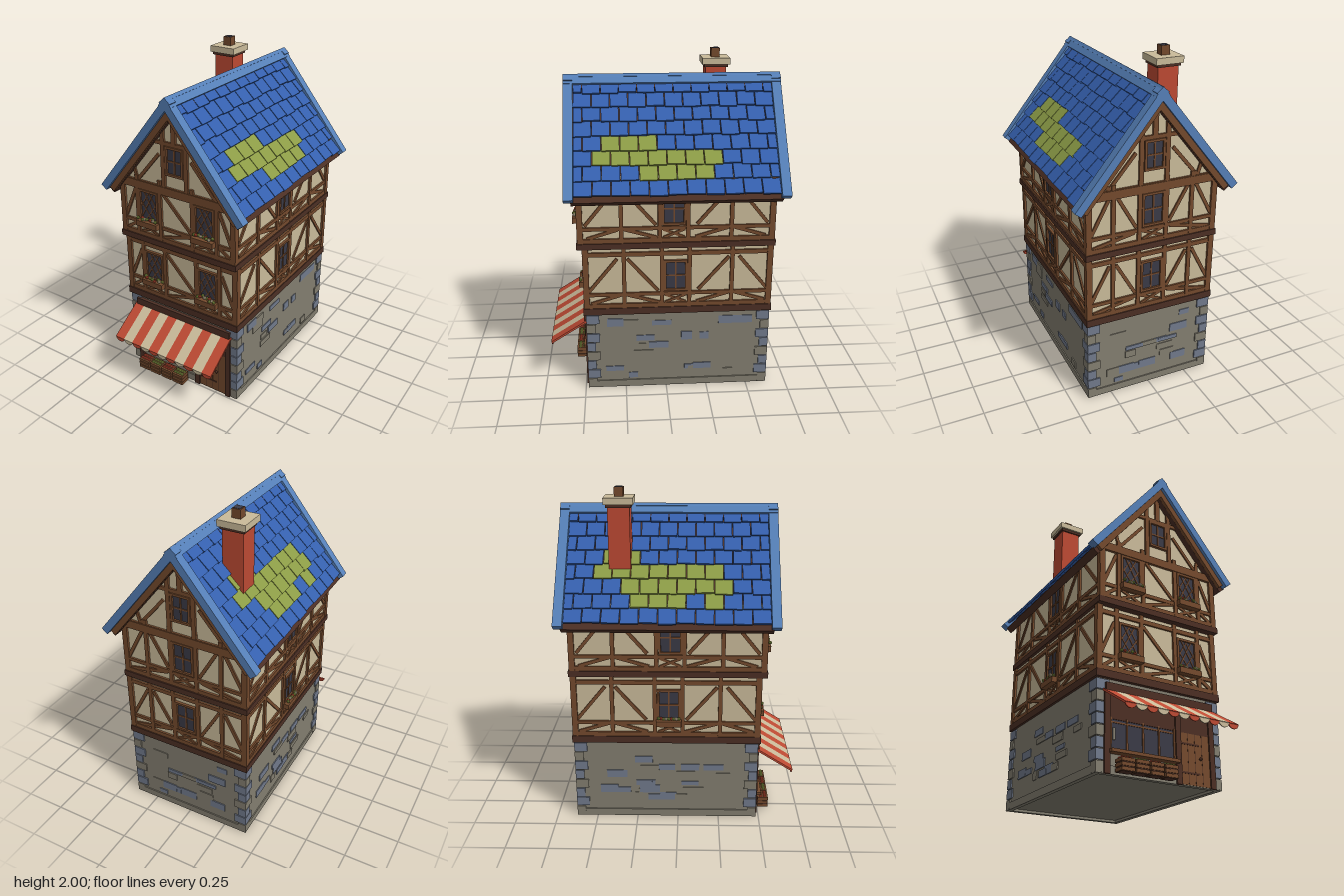
import * as THREE from 'three';

const mat = (name, color) => Object.assign(new THREE.MeshStandardMaterial({ color }), { name });
const blue = mat('roof blue', 0x3560ae), trim = mat('trim blue', 0x5680b8), moss = mat('moss green', 0x8c9c46),
  plaster = mat('cream plaster', 0xcabb9a), wood = mat('timber brown', 0x744a2d), dark = mat('dark timber', 0x4c2f24),
  stone = mat('grey stone', 0x837e70), slate = mat('blue stone', 0x717a8c), red = mat('brick red', 0xbd4a33),
  glass = mat('dark glass', 0x3a3a46);

let seed = 7;
const rnd = () => (seed = (seed * 16807) % 2147483647) / 2147483647;

function add(parent, name, geo, material, x = 0, y = 0, z = 0) {
  const m = new THREE.Mesh(geo, material);
  m.name = name;
  m.position.set(x, y, z);
  parent.add(m);
  return m;
}
// box given by its minimum and maximum corners
const span = (p, name, m, x0, x1, y0, y1, z0, z1) =>
  add(p, name, new THREE.BoxGeometry(x1 - x0, y1 - y0, z1 - z0), m, (x0 + x1) / 2, (y0 + y1) / 2, (z0 + z1) / 2);
const sub = (p, name, x = 0, y = 0, z = 0, ry = 0) => {
  const g = new THREE.Group();
  g.name = name;
  g.position.set(x, y, z);
  g.rotation.y = ry;
  p.add(g);
  return g;
};
// straight timber lying on a wall plane between two points
function bar(p, name, x0, y0, x1, y1, w, d = 0.012, m = wood) {
  const b = add(p, name, new THREE.BoxGeometry(Math.hypot(x1 - x0, y1 - y0), w, d + 0.005), m,
    (x0 + x1) / 2, (y0 + y1) / 2, (d - 0.005) / 2);
  b.rotation.z = Math.atan2(y1 - y0, x1 - x0);
}

function windowUnit(p, x, y0, y1, half, lattice) {
  const g = sub(p, 'window', x);
  span(g, 'glass', glass, -half, half, y0, y1, -0.002, 0.005);
  for (const s of [-1, 1]) bar(g, 'windowJamb', s * half, y0, s * half, y1, 0.014, 0.016);
  for (const y of [y0, y1]) bar(g, 'windowRail', -half - 0.007, y, half + 0.007, y, 0.014, 0.016);
  const c = (y0 + y1) / 2;
  if (lattice) for (const s of [-1, 1]) {
    bar(g, 'lattice', -half * s, y0, half * s * 0.6, y1, 0.006, 0.009);
    bar(g, 'lattice', -half * s * 0.4, y0, half * s, c + 0.03, 0.006, 0.008);
    bar(g, 'lattice', -half * s, c - 0.02, half * s * 0.1, y1, 0.006, 0.008);
  } else {
    bar(g, 'muntin', 0, y0, 0, y1, 0.009, 0.01);
    bar(g, 'muntin', -half, c, half, c, 0.009, 0.009);
  }
}

function flowerBox(p, x, y) {
  const g = sub(p, 'flowerBox', x, y);
  span(g, 'planter', wood, -0.075, 0.075, -0.035, 0, 0.005, 0.045);
  for (let i = 0; i < 9; i++)
    add(g, 'blossom', new THREE.IcosahedronGeometry(0.011, 0), [moss, red, moss, plaster][i % 4],
      -0.06 + i * 0.015, 0.006 + rnd() * 0.012, 0.015 + rnd() * 0.025);
}

// timber framing: posts, rails, braces and windows for one storey
function timberWall(p, half, y0, wins, opt = {}) {
  const low = y0 + 0.1, high = y0 + 0.34, wh = opt.half ?? 0.062;
  bar(p, 'bottomRail', -half, y0 + 0.015, half, y0 + 0.015, 0.03);
  bar(p, 'middleRail', -half, low - 0.01, half, low - 0.01, 0.022, 0.011);
  bar(p, 'topRail', -half, high + 0.01, half, high + 0.01, 0.026);
  for (const s of [-1, 1]) {
    bar(p, 'cornerPost', s * (half - 0.016), y0, s * (half - 0.016), y0 + 0.39, 0.034, 0.014);
    for (const x of opt.posts ?? []) bar(p, 'post', s * x, y0, s * x, y0 + 0.39, 0.024, 0.013);
    for (const [a, b, c, d] of opt.braces ?? []) bar(p, 'brace', s * a, y0 + b, s * c, y0 + d, 0.02, 0.009);
  }
  for (const x of wins) {
    windowUnit(p, x, low + 0.015, high - 0.04, wh, opt.lattice);
    for (const s of [-1, 1]) {
      bar(p, 'windowPost', x + s * (wh + 0.02), y0, x + s * (wh + 0.02), y0 + 0.39, 0.024, 0.0125);
      bar(p, 'crossBrace', x - s * wh, y0 + 0.03, x + s * wh, low - 0.02, 0.015, 0.008 + s * 0.001);
    }
  }
}

function createStorey(p, y0, zf, zb) {
  const g = sub(p, 'timberStorey'), c = (zf + zb) / 2, h = (zf - zb) / 2;
  span(g, 'plasterWall', plaster, -0.388, 0.388, y0 - 0.01, y0 + 0.4, zb, zf);
  const front = sub(g, 'frontFraming', 0, 0, zf), back = sub(g, 'backFraming', 0, 0, zb, Math.PI);
  timberWall(front, 0.4, y0, [-0.195, 0.195], { lattice: true, braces: [[0.37, 0.11, 0.29, 0.3], [0.36, 0.03, 0.29, 0.08]] });
  bar(front, 'centreBrace', -0.1, y0 + 0.32, 0.1, y0 + 0.11, 0.02, 0.009);
  bar(front, 'centreBrace', -0.1, y0 + 0.03, 0.1, y0 + 0.085, 0.018, 0.009);
  for (const x of [-0.195, 0.195]) flowerBox(front, x, y0 + 0.115);
  timberWall(back, 0.4, y0, [0], { posts: [0.24], braces: [[0.37, 0.11, 0.26, 0.32], [0.22, 0.32, 0.1, 0.11], [0.36, 0.03, 0.11, 0.08]] });
  for (const s of [-1, 1]) {
    const side = sub(g, 'sideFraming', s * 0.388, 0, c, s * Math.PI / 2);
    timberWall(side, h + 0.012, y0, [s * -0.015], {
      posts: [0.32], braces: [[0.53, 0.11, 0.36, 0.32], [0.3, 0.32, 0.12, 0.11], [0.52, 0.03, 0.34, 0.085], [0.3, 0.085, 0.11, 0.03]],
    });
    if (s < 0 && y0 < 0.8) flowerBox(side, 0.015, y0 + 0.115);
  }
}

function createGable(p, z, ry) {
  const g = sub(p, 'gable', 0, 0, z, ry);
  bar(g, 'tieBeam', -0.4, 1.305, 0.4, 1.305, 0.05, 0.016);
  bar(g, 'collarBeam', -0.2, 1.595, 0.2, 1.595, 0.022);
  bar(g, 'kingPost', 0, 1.6, 0, 1.8, 0.03, 0.014);
  windowUnit(g, 0, 1.415, 1.575, 0.054, false);
  for (const s of [-1, 1]) {
    bar(g, 'gablePost', s * 0.078, 1.33, s * 0.078, 1.67, 0.026, 0.013);
    bar(g, 'gableBrace', s * 0.11, 1.52, s * 0.27, 1.33, 0.02, 0.009);
    bar(g, 'gableStrut', s * 0.27, 1.33, s * 0.3, 1.43, 0.02, 0.009);
    bar(g, 'gableRafter', s * 0.4, 1.3, 0, 1.795, 0.035, 0.015);
  }
}

// moss patches: [row from the eaves, z start, z end]
const mossRight = [[1, -0.25, 0.13], [2, -0.31, 0.445], [3, 0, 0.38]];
const mossLeft = [[1, -0.26, 0], [1, 0.13, 0.25], [2, -0.31, 0.31], [3, -0.5, 0.26], [4, -0.43, -0.2]];

function createRoofSide(p, s) {
  const turn = sub(p, 'roofSide', 0, 1.88, -0.06, s > 0 ? 0 : Math.PI);
  const g = sub(turn, 'roofSlope');
  g.rotation.z = -Math.atan2(0.61, 0.49);
  span(g, 'roofDeck', dark, 0.03, 0.785, -0.08, -0.035, -0.6, 0.6);
  for (const e of [-1, 1]) {
    add(g, 'bargeBoard', new THREE.BoxGeometry(0.78, 0.045, 0.055), trim, 0.39, -0.0225, e * 0.6125);
    add(g, 'rafter', new THREE.BoxGeometry(0.72, 0.035, 0.04), wood, 0.4, -0.062, e * 0.6);
  }
  span(g, 'ridgeCap', trim, 0, 0.062, -0.02, 0.003, -0.64, 0.64);
  // overlapping shingles in staggered rows
  const n = 11, w = 1.17 / n;
  for (let r = 0; r < 8; r++) for (let i = 0; i <= n; i++) {
    const z0 = Math.max(-0.585, -0.585 + (i - (r % 2) / 2) * w), z1 = Math.min(0.585, -0.585 + (i + 1 - (r % 2) / 2) * w);
    if (z1 - z0 < 0.02) continue;
    const zc = (z0 + z1) / 2, world = zc - 0.06;
    const mossy = (s > 0 ? mossRight : mossLeft).some(([k, a, b]) => k === r && world > a && world < b);
    const t = add(g, 'shingle', new THREE.BoxGeometry(0.098, 0.014, z1 - z0 - 0.005), mossy ? moss : blue,
      0.706 - r * 0.091 + (rnd() - 0.5) * 0.01, -0.02, s * zc);
    t.rotation.set(0, (rnd() - 0.5) * 0.05, 0.13);
  }
}

// irregular facing stones and corner quoins on one stone wall
function stoneFace(p, half, count) {
  for (const s of [-1, 1]) for (let i = 0; i < 8; i++) {
    const w = i % 2 ? 0.07 : 0.045, y = 0.005 + i * 0.063;
    span(p, 'quoin', i % 3 ? slate : stone, s > 0 ? half - w : -half - 0.008, s > 0 ? half + 0.008 : w - half, y, y + 0.057, -0.01, 0.008);
  }
  for (let i = 0; i < count; i++) {
    const w = 0.05 + rnd() * 0.08, h = 0.025 + rnd() * 0.03;
    const x = (rnd() * 2 - 1) * (half - 0.15), y = 0.06 + Math.floor(rnd() * 8) * 0.052;
    span(p, 'facingStone', i % 3 ? slate : stone, x - w / 2, x + w / 2, y, y + h, -0.005, 0.004 + (i % 4) * 0.0008);
  }
}

function createAwning(p) {
  const g = sub(p, 'awning'), w = 0.715 / 11;
  const scallop = new THREE.Shape();
  scallop.absellipse(0, 0, w / 2, 0.026, Math.PI, Math.PI * 2, false);
  const scallopGeo = new THREE.ExtrudeGeometry(scallop, { depth: 0.006, bevelEnabled: false, curveSegments: 8 });
  for (let i = 0; i < 11; i++) {
    const x = -0.3575 + (i + 0.5) * w, m = i % 2 ? plaster : red;
    add(g, 'awningStripe', new THREE.BoxGeometry(w, 0.012, 0.261), m, x, 0.375, 0.59).rotation.x = Math.atan2(0.14, 0.22);
    add(g, 'awningScallop', scallopGeo, m, x, 0.307, 0.694);
  }
}

function createShopFront(p) {
  const g = sub(p, 'shopFront', 0, 0, 0.475);
  span(g, 'shopPanel', dark, -0.34, 0.34, 0.29, 0.47, 0, 0.01);
  span(g, 'shopHeader', dark, -0.345, 0.35, 0.44, 0.485, 0, 0.022);
  for (const x of [-0.335, 0.11, 0.335]) span(g, 'shopPost', dark, x - 0.017, x + 0.017, 0, 0.45, 0, 0.018);
  span(g, 'shopGlass', glass, -0.31, 0.09, 0.13, 0.3, 0, 0.006);
  for (const x of [-0.312, -0.213, -0.113, -0.013, 0.086]) bar(g, 'shopMullion', x, 0.12, x, 0.3, 0.01);
  bar(g, 'shopTransom', -0.31, 0.275, 0.09, 0.275, 0.008, 0.01);
  span(g, 'shopSill', wood, -0.325, 0.1, 0.108, 0.126, 0, 0.045);
  span(g, 'notice', stone, -0.3, -0.285, 0.18, 0.245, 0.006, 0.013);
  span(g, 'door', wood, 0.128, 0.318, 0.005, 0.3, 0, 0.01);
  for (let i = 1; i < 4; i++) bar(g, 'doorSeam', 0.128 + i * 0.047, 0.01, 0.128 + i * 0.047, 0.3, 0.003, 0.0108, dark);
  for (const y of [0.07, 0.23]) bar(g, 'doorHinge', 0.13, y, 0.25, y, 0.01, 0.013, dark);
  add(g, 'doorKnob', new THREE.SphereGeometry(0.009, 8, 6), dark, 0.255, 0.155, 0.016);
  // produce crates
  for (let i = 0; i < 4; i++) {
    const c = sub(g, 'crate', -0.257 + i * 0.088, 0, 0.06);
    span(c, 'crateBody', dark, -0.036, 0.036, 0.004, 0.062, -0.028, 0.028);
    for (const y of [0.016, 0.04, 0.064]) add(c, 'crateSlat', new THREE.BoxGeometry(0.078, 0.018, 0.066), wood, 0, y, 0);
    for (let k = 0; k < 8; k++)
      add(c, 'produce', new THREE.IcosahedronGeometry(0.011, 0), i % 2 ? moss : red, -0.026 + (k % 4) * 0.017, 0.075, k < 4 ? -0.013 : 0.013);
  }
}

export function createModel() {
  const house = new THREE.Group();
  house.name = 'townHouse';

  // stone ground floor with a plinth
  span(house, 'stoneWall', stone, -0.39, 0.39, 0.015, 0.52, -0.62, 0.475);
  for (const s of [-1, 1]) {
    add(house, 'sidePlinth', new THREE.BoxGeometry(0.03, 0.045, 1.11), stone, s * 0.382, 0.0225, -0.0725);
    add(house, 'endPlinth', new THREE.BoxGeometry(0.75, 0.045, 0.03), stone, 0, 0.0225, s > 0 ? 0.467 : -0.612);
    stoneFace(sub(house, 'sideStones', s * 0.39, 0, -0.0725, s * Math.PI / 2), 0.5475, 20);
  }
  stoneFace(sub(house, 'backStones', 0, 0, -0.62, Math.PI), 0.39, 16);
  stoneFace(sub(house, 'frontStones', 0, 0, 0.475), 0.39, 0);
  createShopFront(house);
  createAwning(house);

  // timber storeys and the floor beams between them
  span(house, 'lowerBeam', dark, -0.405, 0.405, 0.51, 0.553, -0.636, 0.497);
  createStorey(house, 0.55, 0.478, -0.618);
  span(house, 'upperBeam', dark, -0.407, 0.407, 0.937, 0.973, -0.64, 0.522);
  createStorey(house, 0.97, 0.503, -0.62);

  // gable wall running the full depth
  const tri = new THREE.Shape([[-0.388, 1.29], [0.388, 1.29], [0.388, 1.32], [0, 1.8], [-0.388, 1.32]].map(q => new THREE.Vector2(...q)));
  add(house, 'gableWall', new THREE.ExtrudeGeometry(tri, { depth: 1.123, bevelEnabled: false }), plaster, 0, 0, -0.62);
  createGable(house, 0.503, 0);
  createGable(house, -0.62, Math.PI);

  // roof
  for (const s of [-1, 1]) createRoofSide(house, s);

  // chimney
  const ch = sub(house, 'chimney', -0.19, 0, -0.335);
  span(ch, 'chimneyStack', red, -0.063, 0.063, 1.45, 1.9, -0.063, 0.063);
  span(ch, 'chimneyCollar', dark, -0.072, 0.072, 1.893, 1.912, -0.072, 0.072);
  span(ch, 'chimneyCap', plaster, -0.084, 0.084, 1.91, 1.948, -0.084, 0.084);
  span(ch, 'chimneyPot', wood, -0.026, 0.026, 1.945, 2, -0.026, 0.026);
  span(ch, 'flue', glass, -0.02, 0.02, 1.99, 2.002, -0.02, 0.02);
  return house;
}
